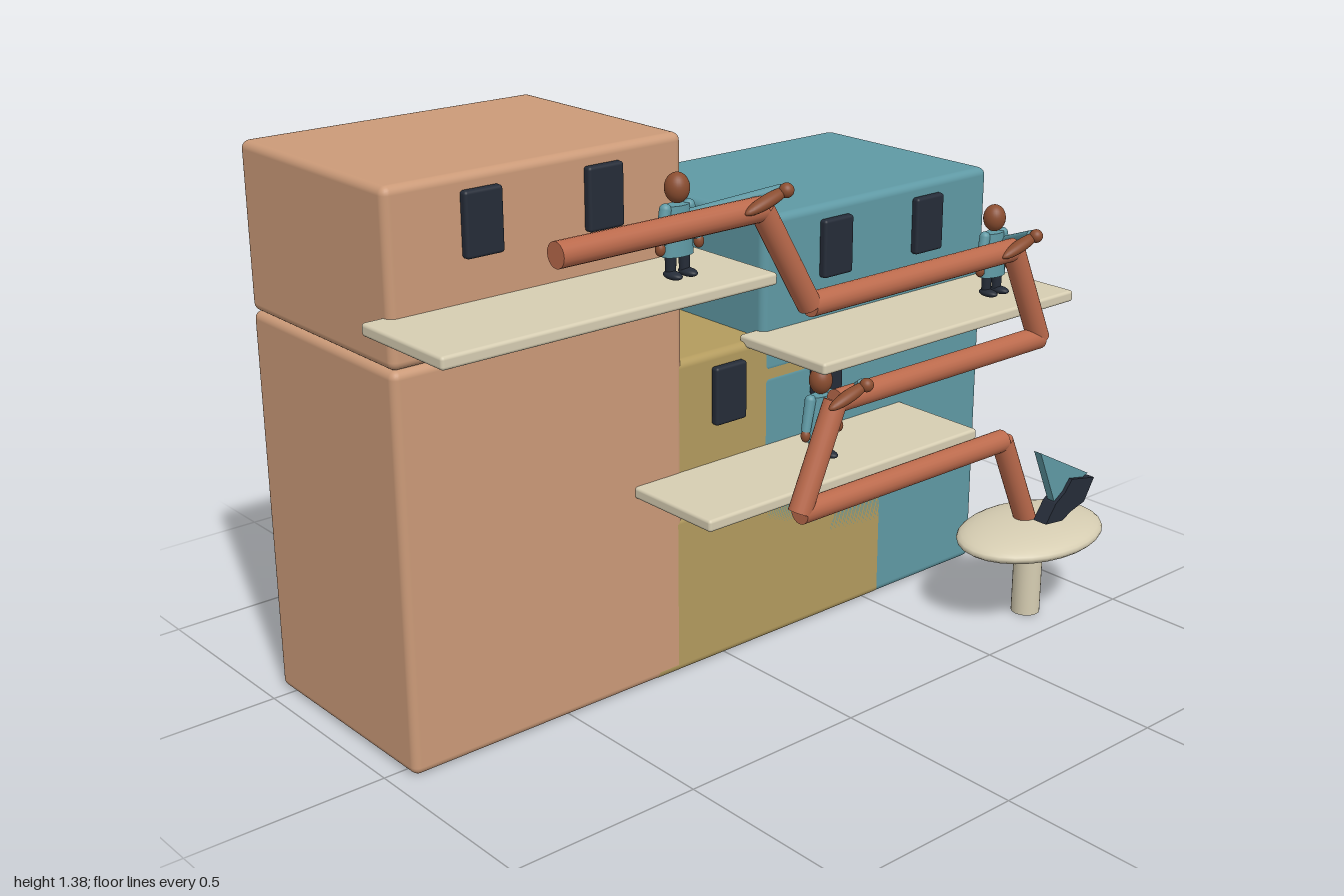
import * as THREE from 'three';
import { RoundedBoxGeometry } from 'three/addons/geometries/RoundedBoxGeometry.js';

const paint = (name, color) => {
  const m = new THREE.MeshStandardMaterial({ color });
  m.name = name;
  return m;
};

export function createModel() {
  const clay = paint('clay', 0xcb9a78);
  const teal = paint('teal', 0x5f99a4);
  const ochre = paint('ochre', 0xb39b5e);
  const cream = paint('cream', 0xd6cdb2);
  const rust = paint('rust', 0xbb6a4c);
  const skin = paint('skin', 0x8a4d30);
  const dark = paint('dark', 0x252c38);

  const model = new THREE.Group();
  model.name = 'steppedHouses';

  const add = (parent, name, geometry, material, x = 0, y = 0, z = 0) => {
    const mesh = new THREE.Mesh(geometry, material);
    mesh.name = name;
    mesh.position.set(x, y, z);
    parent.add(mesh);
    return mesh;
  };
  const block = (parent, name, w, h, d, r, material, x, y, z) =>
    add(parent, name, new RoundedBoxGeometry(w, h, d, 3, r), material, x, y, z);
  const ball = (parent, name, rx, ry, rz, material, x, y, z) => {
    const mesh = add(parent, name, new THREE.SphereGeometry(1, 28, 18), material, x, y, z);
    mesh.scale.set(rx, ry, rz);
    return mesh;
  };
  // Round bar between two points
  const bar = (parent, name, a, b, r0, r1, material) => {
    const from = new THREE.Vector3(...a), to = new THREE.Vector3(...b);
    const dir = to.clone().sub(from);
    const mesh = add(parent, name, new THREE.CylinderGeometry(r1, r0, dir.length(), 20), material);
    mesh.position.copy(from).add(to).multiplyScalar(0.5);
    mesh.quaternion.setFromUnitVectors(new THREE.Vector3(0, 1, 0), dir.normalize());
    return mesh;
  };

  // Houses: lower block, upper block, two windows and a balcony
  // (the middle one is nudged slightly so shared planes do not flicker)
  const house = (name, x, split, top, slabY, material, nudge) => {
    const g = new THREE.Group();
    g.name = name;
    block(g, 'lowerBlock', 0.806, split, 0.6, 0.02, material, x, split / 2 - nudge, -0.25);
    block(g, 'upperBlock', 0.806, top - split, 0.6, 0.02, material, x, (top + split) / 2, -0.25 - nudge);
    for (const s of [-1, 1])
      block(g, 'window', 0.1, 0.15, 0.024, 0.008, dark, x + s * 0.165, top - 0.11, 0.06);
    block(g, 'balcony', 0.91, 0.03, 0.302, 0.008, cream, x, slabY, 0.171);
    model.add(g);
  };
  house('clayHouse', -0.545, 0.977, 1.38, 1.08, clay, 0);
  house('tealHouse', 0.517, 0.727, 1.13, 0.825, teal, 0);
  house('ochreHouse', 0.16, 0.424, 0.825, 0.525, ochre, 0.001);

  // Zigzag pipe running down across the fronts
  const pipe = new THREE.Group();
  pipe.name = 'zigzagPipe';
  const path = [[-0.75, 1.27], [-0.19, 1.27], [-0.04, 1.02], [0.66, 1.02], [0.775, 0.765],
    [0.05, 0.765], [-0.06, 0.512], [0.655, 0.512], [0.775, 0.24]];
  for (let i = 0; i < path.length - 1; i++)
    bar(pipe, 'pipeSection', [...path[i], 0.373], [...path[i + 1], 0.373], 0.029, 0.029, rust);
  model.add(pipe);

  // Basin on its post
  ball(model, 'basin', 0.225, 0.041, 0.163, cream, 0.77, 0.23, 0.386);
  add(model, 'basinPost', new THREE.CylinderGeometry(0.038, 0.038, 0.23, 28), cream, 0.77, 0.115, 0.386);

  // People with one arm reaching out to the pipe
  const person = (x, y, handX, handY) => {
    const g = new THREE.Group();
    g.name = 'person';
    const z = 0.212;
    ball(g, 'head', 0.029, 0.035, 0.029, skin, x, y + 0.205, z);
    const torso = add(g, 'torso', new THREE.CylinderGeometry(0.033, 0.043, 0.115, 24), teal, x, y + 0.11, z);
    torso.scale.z = 0.58;
    for (const s of [-1, 1]) {
      bar(g, 'sleeve', [x + s * 0.034, y + 0.16, z], [x + s * 0.054, y + 0.085, z + 0.006], 0.014, 0.012, teal);
      ball(g, 'shoulder', 0.014, 0.014, 0.014, teal, x + s * 0.034, y + 0.16, z);
      ball(g, 'hand', 0.012, 0.016, 0.012, skin, x + s * 0.056, y + 0.075, z + 0.008);
      bar(g, 'leg', [x + s * 0.02, y + 0.01, z], [x + s * 0.02, y + 0.075, z], 0.012, 0.014, dark);
      ball(g, 'shoe', 0.016, 0.01, 0.029, dark, x + s * 0.022, y + 0.01, z + 0.01);
    }
    // Reaching arm and the open hand resting on the pipe
    bar(g, 'reachingArm', [x, y + 0.155, 0.257], [handX, handY, 0.395], 0.012, 0.012, teal);
    const palm = ball(g, 'reachingHand', 0.066, 0.015, 0.018, skin, handX - 0.05, handY - 0.018, 0.402);
    palm.rotation.z = 0.29;
    ball(g, 'knuckle', 0.017, 0.017, 0.017, skin, handX, handY, 0.41);
    model.add(g);
  };
  person(-0.295, 1.1, -0.15, 1.312);
  person(0.77, 0.845, 0.7, 1.055);
  person(0.158, 0.545, 0.115, 0.8);

  // Upright cut-out shape floating above the basin
  const plate = (name, points, depth, z, material) => {
    const shape = new THREE.Shape(points.map(p => new THREE.Vector2(...p)));
    add(model, name, new THREE.ExtrudeGeometry(shape, { depth, bevelEnabled: false }), material, 0, 0, z);
  };
  plate('darkFin', [[0.68, 0.315], [0.715, 0.363], [0.75, 0.385], [0.775, 0.415], [0.865, 0.397],
    [0.83, 0.338], [0.78, 0.325], [0.745, 0.308]], 0.042, 0.47, dark);
  plate('tealFin', [[0.655, 0.515], [0.72, 0.365], [0.85, 0.41]], 0.022, 0.48, teal);

  return model;
}
